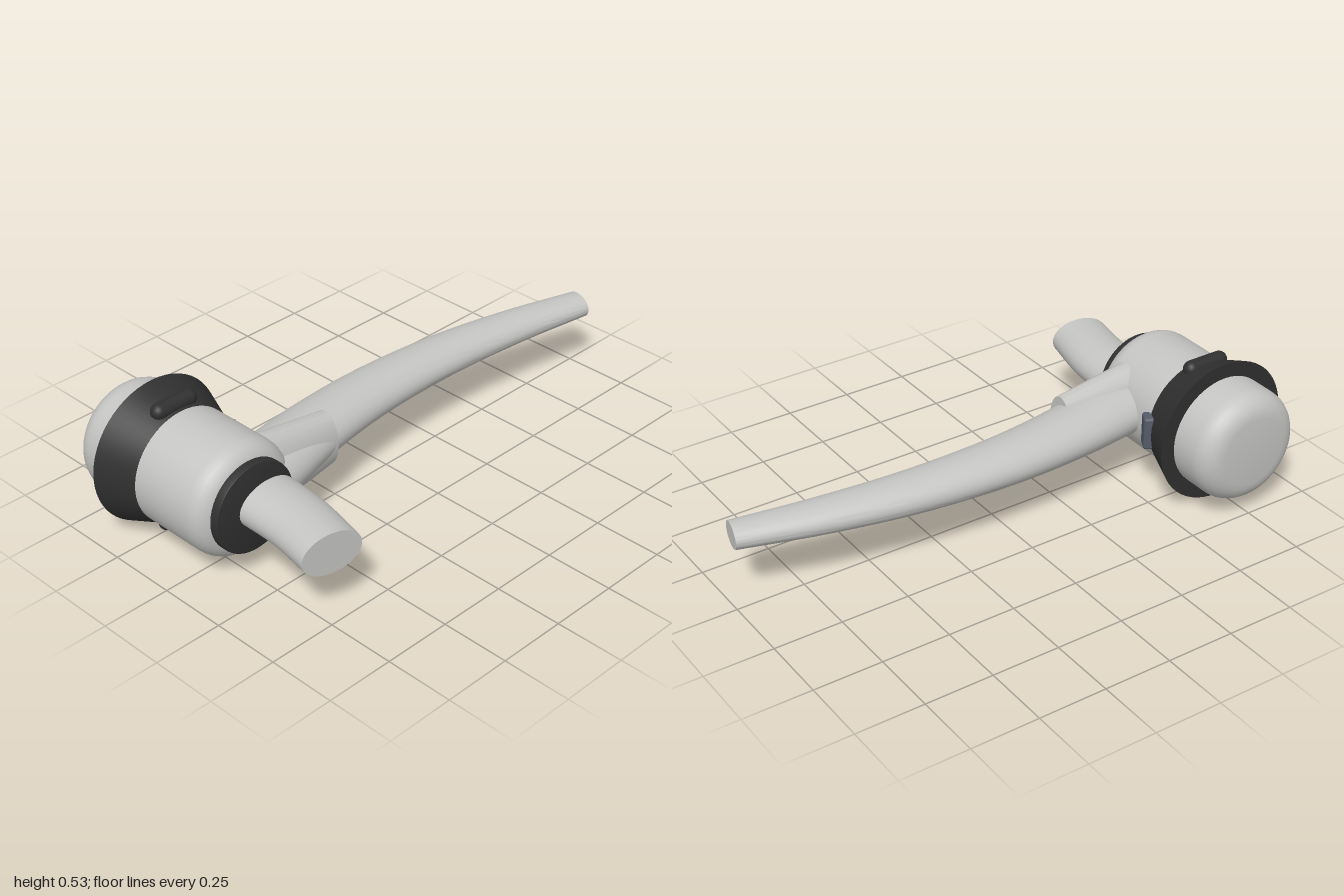
import * as THREE from 'three';
import { toCreasedNormals } from 'three/addons/utils/BufferGeometryUtils.js';
import { RoundedBoxGeometry } from 'three/addons/geometries/RoundedBoxGeometry.js';

const AXIS_X = -0.736, AXIS_Y = 0.267;

const material = (name, color) => {
  const m = new THREE.MeshStandardMaterial({ color });
  m.name = name;
  return m;
};

// Solid of revolution about z, from [radius, z] points running front to back
function turned(points) {
  const profile = points.map(([r, z]) => new THREE.Vector2(r, z)).reverse();
  const geometry = new THREE.LatheGeometry(profile, 56);
  geometry.rotateX(Math.PI / 2);
  return toCreasedNormals(geometry, 0.5);
}

// Adds a quarter-circle edge to a profile
function roundedEdge(r, z, radius, from, to, steps = 6) {
  const points = [];
  for (let i = 0; i <= steps; i++) {
    const a = from + (to - from) * i / steps;
    points.push([r + radius * Math.cos(a), z + radius * Math.sin(a)]);
  }
  return points;
}

// Oval bar swept along a level path; each point is [x, half width, z]
function ovalBar(points, ratio) {
  const curve = new THREE.CatmullRomCurve3(points.map((p) => new THREE.Vector3(...p)));
  const geometry = new THREE.CylinderGeometry(1, 1, 1, 48, 40);
  const position = geometry.attributes.position;
  const up = new THREE.Vector3(0, 1, 0);
  for (let i = 0; i < position.count; i++) {
    const t = THREE.MathUtils.clamp(position.getY(i) + 0.5, 0, 1);
    const centre = curve.getPoint(t);
    const halfWidth = centre.y;
    const tangent = curve.getTangent(t).setY(0).normalize();
    const side = tangent.cross(up);
    const across = position.getX(i) * halfWidth;
    position.setXYZ(i,
      centre.x + side.x * across,
      AXIS_Y + position.getZ(i) * halfWidth * ratio,
      centre.z + side.z * across);
  }
  return toCreasedNormals(geometry, 0.6);
}

export function createModel() {
  const model = new THREE.Group();
  model.name = 'leverHandle';
  const grey = material('light grey', 0xc4c4c2);
  const black = material('charcoal', 0x303030);
  const slate = material('slate', 0x555b69);

  const add = (name, geometry, mat, x = 0, y = 0, z = 0) => {
    const mesh = new THREE.Mesh(geometry, mat);
    mesh.name = name;
    mesh.position.set(x, y, z);
    model.add(mesh);
    return mesh;
  };

  // Drum body with rounded ends
  add('body', turned([
    [0, 0.122],
    ...roundedEdge(0.133, 0.047, 0.075, Math.PI / 2, 0),
    ...roundedEdge(0.128, -0.437, 0.08, 0, -Math.PI / 2),
    [0, -0.517],
  ]), grey, AXIS_X, AXIS_Y);

  // Flared collar
  add('collar', turned([
    [0.19, -0.198], [0.209, -0.198], [0.264, -0.34], [0.19, -0.34],
  ]), black, AXIS_X, AXIS_Y);

  // Front disc
  add('frontDisc', turned([
    [0, 0.146],
    ...roundedEdge(0.157, 0.14, 0.006, Math.PI / 2, 0, 3),
    [0.163, 0.11], [0, 0.11],
  ]), black, AXIS_X, AXIS_Y);

  // Grip knobs above and below the collar
  for (const s of [1, -1]) {
    const knob = new THREE.CapsuleGeometry(0.029, 0.122, 8, 20);
    knob.rotateZ(Math.PI / 2);
    add(s > 0 ? 'upperKnob' : 'lowerKnob', knob, black, AXIS_X, AXIS_Y + s * 0.217, -0.235);
  }

  // Tilted button on the lever side of the collar
  const button = add('button', new RoundedBoxGeometry(0.04, 0.124, 0.06, 3, 0.01),
    slate, -0.525, AXIS_Y, -0.2);
  button.rotation.y = -0.5;

  // Tapered collar where the lever leaves the body
  const cuff = new THREE.CylinderGeometry(0.104, 0.158, 0.35, 48);
  cuff.rotateZ(-Math.PI / 2);
  cuff.scale(1, 1, 0.57);
  add('leverCuff', toCreasedNormals(cuff, 0.6), grey, -0.475, AXIS_Y, 0.015);

  // Long curved lever
  add('lever', ovalBar([
    [-0.6, 0.138, 0.012], [-0.3, 0.121, -0.051], [0, 0.109, -0.08],
    [0.35, 0.095, -0.071], [0.68, 0.079, -0.025], [0.981, 0.062, 0.04],
  ], 0.7), grey);

  // Short curved stub at the front
  add('frontStub', ovalBar([
    [-0.684, 0.121, 0], [-0.685, 0.119, 0.145], [-0.696, 0.115, 0.31], [-0.733, 0.11, 0.489],
  ], 0.685), grey);

  return model;
}
